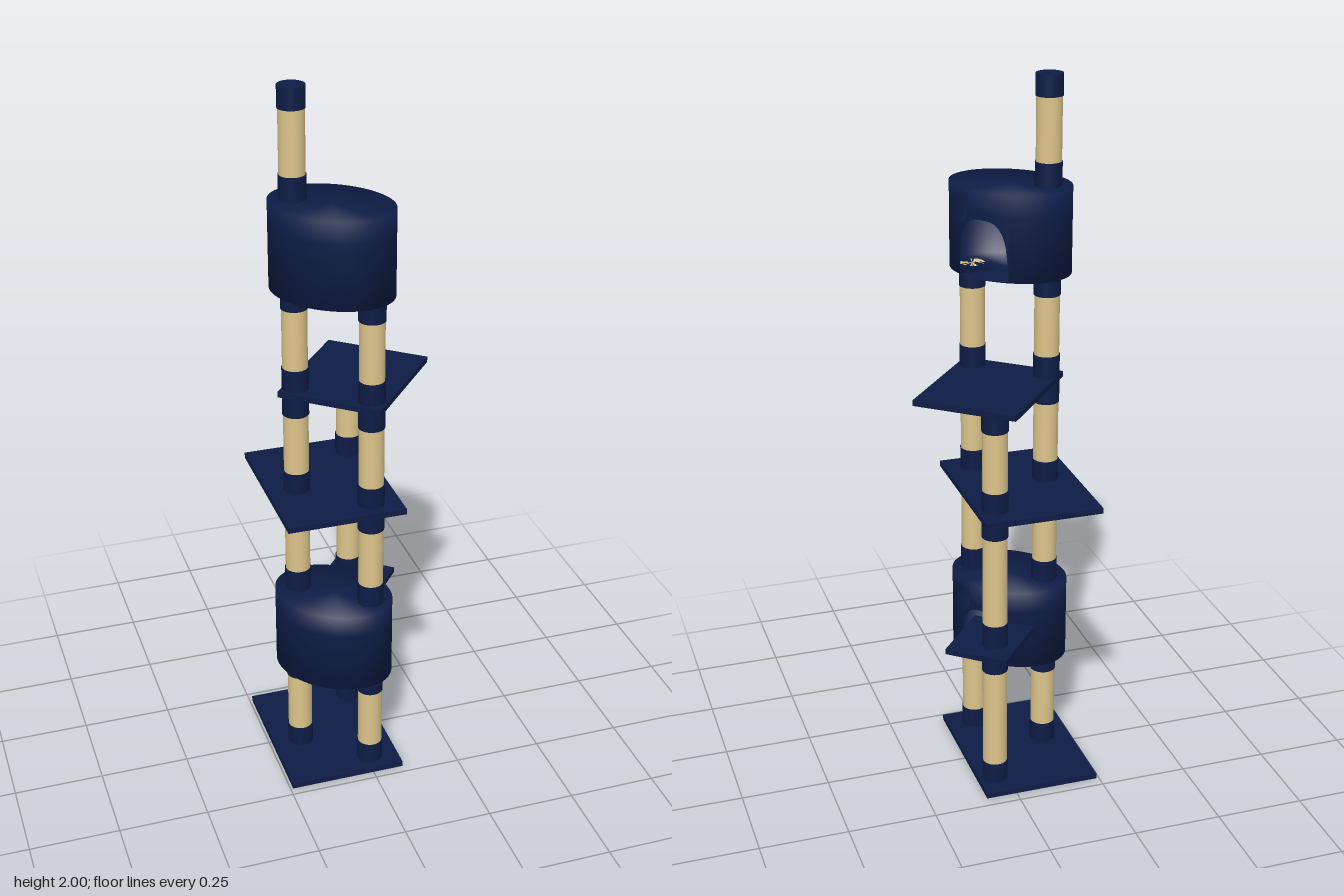
import * as THREE from 'three';
import { mergeVertices } from 'three/addons/utils/BufferGeometryUtils.js';

const navy = new THREE.MeshStandardMaterial({ color: 0x0e1c46 });
const navyThin = new THREE.MeshStandardMaterial({ color: 0x0e1c46, side: THREE.DoubleSide });
const rope = new THREE.MeshStandardMaterial({ color: 0xdcc48a });

const HOUSE_H = 0.237;

// Oval drum with an arched doorway and a round peephole, both on the -z side
function houseGeometry() {
  const a = 0.172, b = 0.13, cols = 240;
  const door = { u: 0.02, w: 0.074, h: 0.162 };
  const hole = { u: 0.1, r: 0.034, y: 0.177 };
  const pos = [], index = [];
  for (let i = 0; i <= cols; i++) {
    const t = (i % cols) / cols * Math.PI * 2;
    const x = a * Math.cos(t), z = -b * Math.sin(t);
    const doorSide = Math.sin(t) > 0;
    const d = Math.abs(x - door.u) / door.w;
    const arch = doorSide && d < 1 ? door.h * Math.cbrt(1 - d ** 3) : 0;
    const half = doorSide ? Math.sqrt(Math.max(0, hole.r ** 2 - (x - hole.u) ** 2)) : 0;
    // rows: floor rim, top of door, hole bottom, hole top, lid rim
    for (const y of [0, arch, hole.y - half, hole.y + half, HOUSE_H]) pos.push(x, y, z);
  }
  const floor = pos.length / 3, lid = floor + 1;
  pos.push(0, 0, 0, 0, HOUSE_H, 0);
  for (let i = 0; i < cols; i++) {
    const p = i * 5, q = p + 5;
    for (const r of [1, 3]) index.push(p + r, q + r, q + r + 1, p + r, q + r + 1, p + r + 1);
    index.push(floor, q, p, lid, p + 4, q + 4);
  }
  const geo = new THREE.BufferGeometry();
  geo.setAttribute('position', new THREE.Float32BufferAttribute(pos, 3));
  geo.setIndex(index);
  const smooth = mergeVertices(geo);
  smooth.computeVertexNormals();
  return smooth;
}

function cylinder(name, r, y0, y1, material) {
  const mesh = new THREE.Mesh(new THREE.CylinderGeometry(r, r, y1 - y0, 32), material);
  mesh.position.y = (y0 + y1) / 2;
  mesh.name = name;
  return mesh;
}

// Rope-wrapped runs with fabric cuffs
function post(name, x, z, runs, cuffs) {
  const g = new THREE.Group();
  g.name = name;
  g.position.set(x, 0, z);
  for (const [y0, y1] of runs) g.add(cylinder('ropeWrap', 0.0345, y0, y1, rope));
  for (const [y0, y1] of cuffs) g.add(cylinder('cuff', 0.0365, y0, y1, navy));
  return g;
}

function board(name, w, d, x, y, z, turn = 0) {
  const mesh = new THREE.Mesh(new THREE.BoxGeometry(w, 0.016, d), navy);
  mesh.position.set(x, y, z);
  mesh.rotation.y = -turn;
  mesh.name = name;
  return mesh;
}

export function createModel() {
  const model = new THREE.Group();
  model.name = 'catTree';

  // Boards
  const turn = 0.698;
  model.add(
    board('base', 0.331, 0.442, -0.077, 0.01, 0.004),
    board('middlePlatform', 0.331, 0.442, -0.077, 0.857, 0.004),
    board('upperPlatform', 0.294, 0.353, 0.0135, 1.165, -0.0045, turn),
    board('step', 0.181, 0.21, 0.043, 0.446, -0.103, turn)
  );

  // Posts
  const lower = [[0.01, 0.078], [0.255, 0.316], [0.552, 0.615], [0.787, 0.925], [1.097, 1.235], [1.405, 1.469]];
  const runs = [[0.01, 0.316], [0.552, 1.469]];
  model.add(
    post('tallPost', -0.16, 0.025, [...runs, [1.704, 1.998]], [...lower, [1.704, 1.77], [1.942, 2]]),
    post('frontPost', 0.008, 0.163, runs, lower),
    post('backPost', 0.04, -0.137, [[0.01, 1.16]],
      [[0.01, 0.078], [0.373, 0.523], [0.787, 0.925], [1.097, 1.16]])
  );

  // Hideaway houses
  const geo = houseGeometry();
  [['lowerHouse', 0.315], ['upperHouse', 1.468]].forEach(([name, y]) => {
    const house = new THREE.Mesh(geo, navyThin);
    house.name = name;
    house.position.set(-0.0755, y, 0.086);
    house.rotation.y = -Math.PI / 4;
    model.add(house);
  });
  return model;
}
